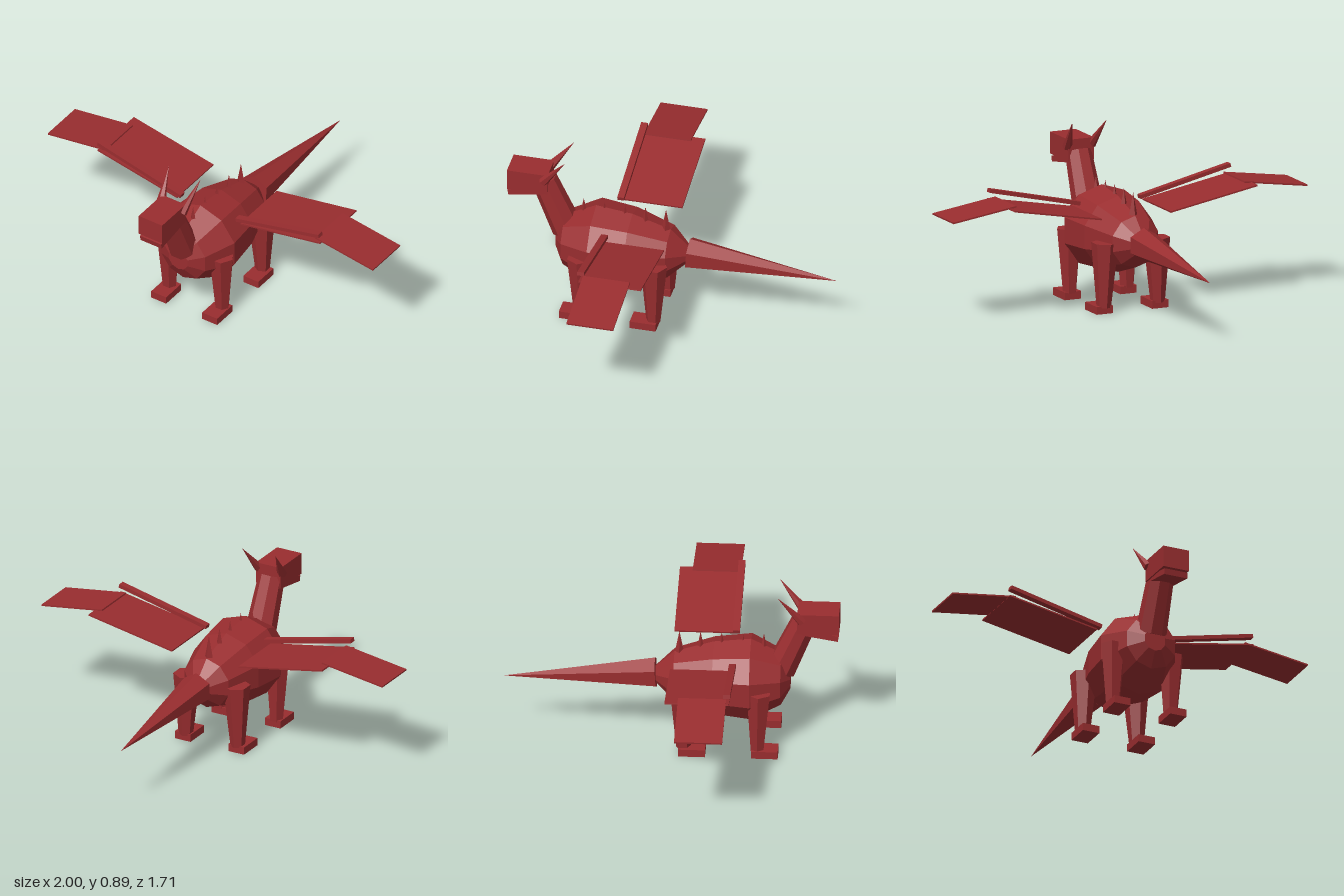
import * as THREE from 'three';

const red = new THREE.MeshStandardMaterial({ color: 0x992d2f });
red.name = 'dragon red';

const V = (x, y, z) => new THREE.Vector3(x, y, z);

export function createModel() {
  const model = new THREE.Group();
  model.name = 'dragon';

  // Adds a faceted mesh
  function add(name, geometry) {
    const flat = geometry.index ? geometry.toNonIndexed() : geometry;
    flat.computeVertexNormals();
    const mesh = new THREE.Mesh(flat, red);
    mesh.name = name;
    model.add(mesh);
    return mesh;
  }

  // Tapered prism from point a (radius ra) to point b (radius rb)
  function limb(name, a, b, ra, rb, sides, twist = 0) {
    const dir = b.clone().sub(a);
    const g = new THREE.CylinderGeometry(rb, ra, dir.length(), sides);
    g.rotateY(twist);
    const mesh = add(name, g);
    mesh.quaternion.setFromUnitVectors(V(0, 1, 0), dir.normalize());
    mesh.position.copy(a).add(b).multiplyScalar(0.5);
  }

  function box(name, x0, x1, y0, y1, z0, z1) {
    const mesh = add(name, new THREE.BoxGeometry(x1 - x0, y1 - y0, z1 - z0));
    mesh.position.set((x0 + x1) / 2, (y0 + y1) / 2, (z0 + z1) / 2);
    return mesh;
  }

  // Sloping plank in the xy plane, spanning z0 to z1
  function plank(name, x0, y0, x1, y1, z0, z1, thickness) {
    const g = new THREE.BoxGeometry(Math.hypot(x1 - x0, y1 - y0), thickness, z1 - z0);
    const mesh = add(name, g);
    mesh.position.set((x0 + x1) / 2, (y0 + y1) / 2, (z0 + z1) / 2);
    mesh.rotation.z = Math.atan2(y1 - y0, x1 - x0);
  }

  // Ten-sided body, fuller at the chest
  const profile = [
    [0, -0.09], [0.035, -0.085], [0.135, 0.02], [0.198, 0.22],
    [0.22, 0.41], [0.142, 0.565], [0.06, 0.61], [0, 0.61],
  ].map(([r, z]) => new THREE.Vector2(r, z));
  const body = new THREE.LatheGeometry(profile, 10);
  body.rotateX(Math.PI / 2);
  add('body', body).position.y = 0.367;

  // Neck, head and drooping lower jaw
  limb('neck', V(0, 0.42, 0.56), V(0, 0.705, 0.683), 0.08, 0.068, 8, Math.PI / 8);
  box('head', -0.072, 0.072, 0.662, 0.776, 0.648, 0.86);
  box('lowerJaw', -0.065, 0.065, 0.637, 0.667, 0.67, 0.858).rotation.x = 0.17;

  // Tail
  limb('tail', V(0, 0.375, -0.075), V(0, 0.328, -0.85), 0.085, 0, 6);

  // Back spikes
  for (let i = 0; i < 5; i++) {
    const z = 0.475 - i * 0.1075;
    limb('backSpike', V(0, 0.49, z), V(0, 0.62, z), 0.025, 0, 4);
  }

  for (const s of [1, -1]) {
    const side = s > 0 ? 'left' : 'right';

    // Horns
    limb(side + 'Horn', V(s * 0.066, 0.735, 0.672), V(s * 0.098, 0.887, 0.55), 0.026, 0, 6);

    // Legs and feet
    limb(side + 'FrontLeg', V(s * 0.162, 0.03, 0.45), V(s * 0.162, 0.367, 0.457), 0.037, 0.067, 6, Math.PI / 6);
    limb(side + 'BackLeg', V(s * 0.152, 0.03, 0.074), V(s * 0.146, 0.367, 0.074), 0.037, 0.07, 6);
    for (const [name, z] of [['FrontFoot', 0.42], ['BackFoot', 0.05]]) {
      const x = s * 0.157;
      box(side + name, x - 0.046, x + 0.046, 0, 0.04, z, z + 0.136);
    }

    // Wing: arm, inner panel and outer panel
    plank(side + 'WingArm', s * 0.17, 0.523, s * 0.68, 0.64, 0.307, 0.342, 0.02);
    plank(side + 'InnerWing', s * 0.195, 0.504, s * 0.685, 0.594, 0.008, 0.335, 0.008);
    plank(side + 'OuterWing', s * 0.645, 0.602, s, 0.55, 0.075, 0.32, 0.008);
  }

  return model;
}
